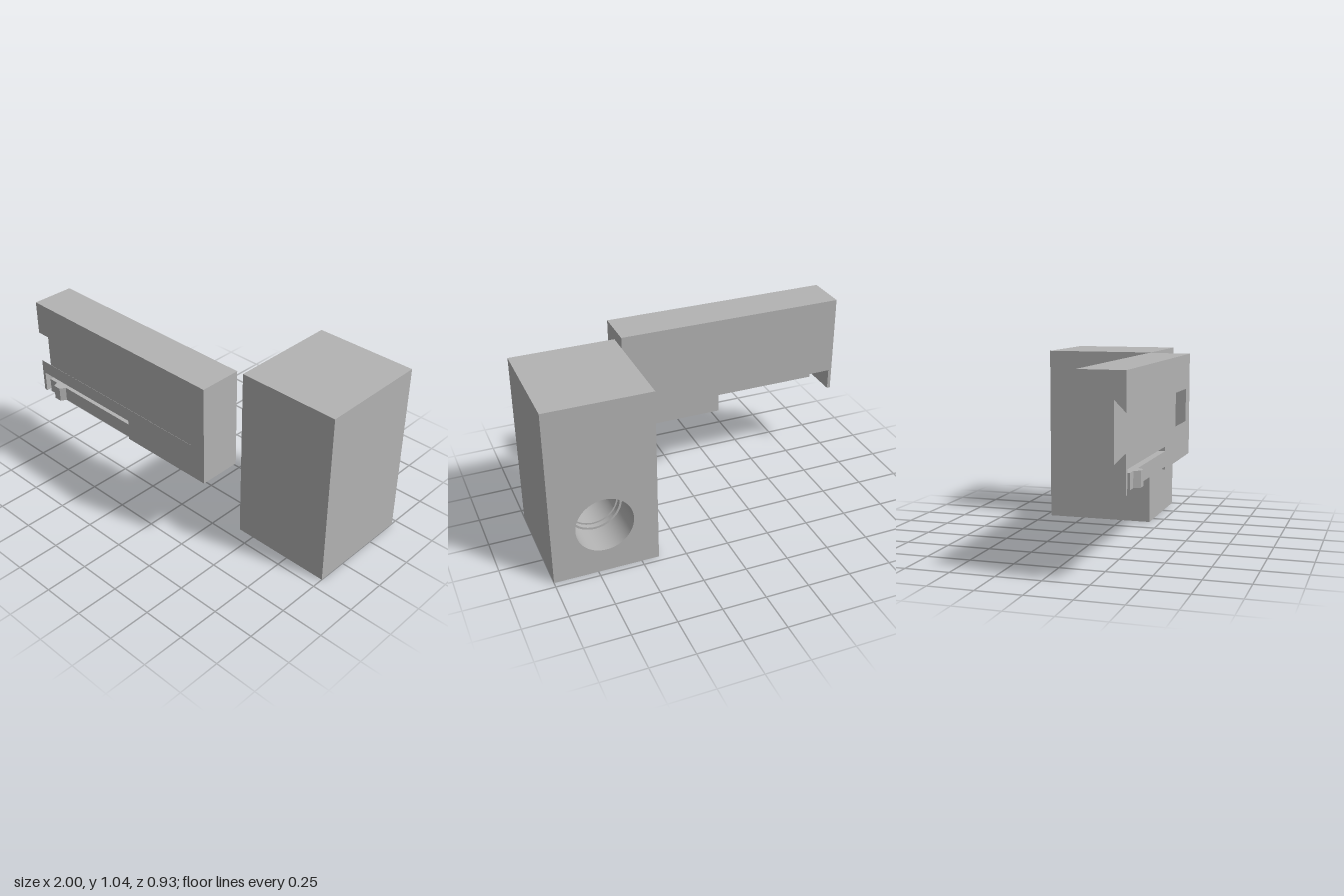
import * as THREE from 'three';
import { toCreasedNormals } from 'three/addons/utils/BufferGeometryUtils.js';

const grey = new THREE.MeshStandardMaterial({ color: 0xb3b3b3 });
grey.name = 'plain grey';

function add(parent, name, geometry) {
  const mesh = new THREE.Mesh(geometry, grey);
  mesh.name = name;
  parent.add(mesh);
  return mesh;
}

const polygon = (points) => new THREE.Shape(points.map(([x, y]) => new THREE.Vector2(x, y)));

// Straight extrusion of a shape between two z positions
function slab(shape, z0, z1) {
  const g = new THREE.ExtrudeGeometry(shape, { depth: z1 - z0, bevelEnabled: false, curveSegments: 48 });
  return g.translate(0, 0, z0);
}

// Tall block with a stepped blind bore entering from the back
function createBlock() {
  const block = new THREE.Group();
  block.name = 'block';
  const steps = [[-0.465, 0.163], [-0.265, 0.15], [-0.235, 0.14], [-0.02, 0], [0.18, 0]];
  for (let i = 0; i < steps.length - 1; i++) {
    const [z, radius] = steps[i];
    const shape = polygon([[0.4, 0], [1, 0], [1, 1.045], [0.4, 1.045]]);
    if (radius > 0) {
      const hole = new THREE.Path();
      hole.absarc(0.7, 0.3, radius, 0, Math.PI * 2, true);
      shape.holes.push(hole);
    }
    add(block, radius ? 'boreSection' : 'blockFront', toCreasedNormals(slab(shape, z, steps[i + 1][0]), 0.5));
  }
  return block;
}

// Bar with a dovetail slot in its front and a recess underneath
function createBar() {
  const bar = new THREE.Group();
  bar.name = 'bar';
  const slotZ = 0.37;
  const lower = [
    [-1, 0.45], [-0.98, 0.45], [-0.98, 0.575], [-0.235, 0.575], [-0.235, 0.45],
    [0.36, 0.45], [0.36, 1.045], [-1, 1.045],
  ];
  const slot = [[-1, 0.845], [0.265, 0.845], [0.265, 0.655], [-1, 0.655]];

  add(bar, 'barBack', slab(polygon(lower), 0.18, slotZ));

  // The slot widens towards its floor
  const front = slab(polygon([...lower, ...slot]), slotZ, 0.43);
  const p = front.attributes.position;
  for (let i = 0; i < p.count; i++) {
    if (p.getZ(i) > slotZ + 0.01) continue;
    if (Math.abs(p.getY(i) - 0.845) < 1e-3) p.setY(i, 0.905);
    if (Math.abs(p.getY(i) - 0.655) < 1e-3) p.setY(i, 0.595);
  }
  front.computeVertexNormals();
  add(bar, 'barFront', front);

  // Spring arm in the recess with a small catch, drawn in plan and extruded upwards
  const plan = polygon([
    [-0.935, -0.43], [-0.875, -0.43], [-0.857, -0.463], [-0.808, -0.463],
    [-0.79, -0.43], [-0.235, -0.43], [-0.235, -0.33], [-0.935, -0.33],
  ]);
  const arm = slab(plan, 0, 0.085).rotateX(-Math.PI / 2).translate(0, 0.465, 0);
  add(bar, 'springArm', arm);
  return bar;
}

export function createModel() {
  const model = new THREE.Group();
  model.name = 'blockAndSlottedBar';
  model.add(createBlock(), createBar());
  return model;
}
